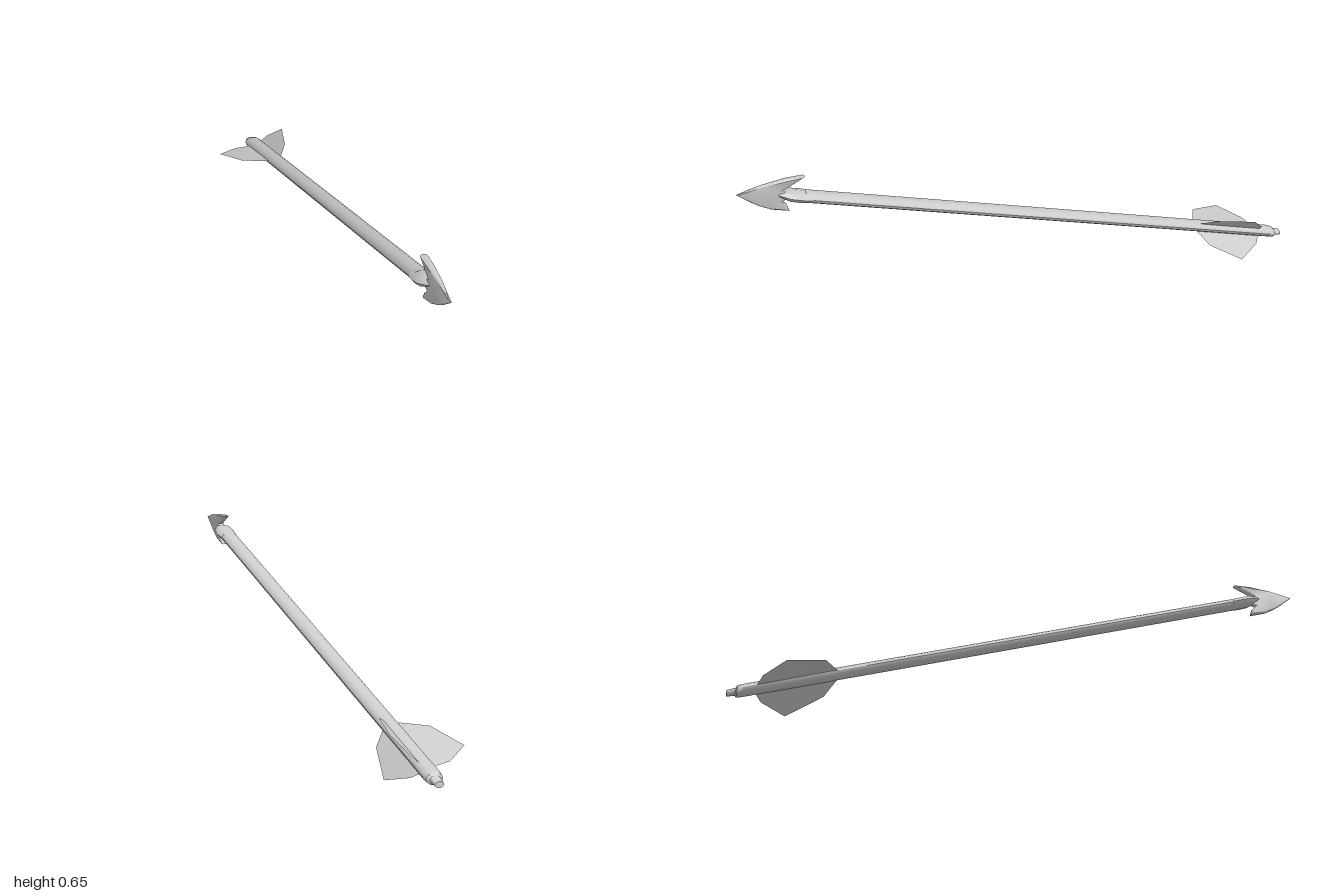
import * as THREE from 'three';
import { toCreasedNormals } from 'three/addons/utils/BufferGeometryUtils.js';

const CX = 0.042; // x of the shaft axis
const axisY = z => 0.335 + 0.305 * z; // height of the shaft axis along z
const grey = new THREE.MeshStandardMaterial({ color: 0xcccccc });
const thin = new THREE.MeshStandardMaterial({ color: 0xcccccc, side: THREE.DoubleSide });

function named(name, geometry, material = grey) {
  const mesh = new THREE.Mesh(geometry, material);
  mesh.name = name;
  return mesh;
}

// Oval turned part laid along the sloping axis; profile is [radius, z] from back to front
function turned(name, profile, sides, flatten) {
  const geo = new THREE.LatheGeometry(profile.map(p => new THREE.Vector2(...p)), sides);
  geo.rotateX(Math.PI / 2);
  geo.scale(1, flatten, 1);
  const pos = geo.attributes.position;
  for (let i = 0; i < pos.count; i++) {
    pos.setXYZ(i, pos.getX(i) + CX, pos.getY(i) + axisY(pos.getZ(i)), pos.getZ(i));
  }
  return named(name, toCreasedNormals(geo, 0.8));
}

// Flat feather: a fan from a point on the axis through the outline points
function feather(name, outline) {
  const pts = [[CX, axisY(-0.64), -0.64], ...outline, [CX, axisY(-0.91), -0.91]];
  const index = [];
  for (let i = 1; i < pts.length - 1; i++) index.push(0, i, i + 1);
  const geo = new THREE.BufferGeometry();
  geo.setAttribute('position', new THREE.Float32BufferAttribute(pts.flat(), 3));
  geo.setIndex(index);
  geo.computeVertexNormals();
  return named(name, geo, thin);
}

// Barbed head: side outline [z, y], bevelled, thinned to the tip and rolled slightly
function arrowHead() {
  const outline = [
    [1, 0.626], [0.965, 0.635], [0.92, 0.643], [0.84, 0.65], [0.78, 0.648],
    [0.815, 0.63], [0.855, 0.612], [0.84, 0.604], [0.835, 0.58], [0.858, 0.573],
    [0.842, 0.556], [0.835, 0.533], [0.893, 0.55], [0.93, 0.57], [0.96, 0.592],
  ].map(p => new THREE.Vector2(...p));
  const geo = new THREE.ExtrudeGeometry(new THREE.Shape(outline), {
    depth: 0.01, bevelEnabled: true, bevelThickness: 0.007,
    bevelSize: 0.005, bevelOffset: -0.005, bevelSegments: 2,
  });
  geo.translate(0, 0, -0.005);
  geo.rotateY(-Math.PI / 2);
  const pos = geo.attributes.position;
  for (let i = 0; i < pos.count; i++) {
    const y = pos.getY(i), z = pos.getZ(i);
    const taper = THREE.MathUtils.clamp((1 - z) / 0.13, 0.25, 1);
    pos.setX(i, CX + pos.getX(i) * taper + (y - 0.59) * 0.09);
  }
  return named('arrowHead', toCreasedNormals(geo, 0.9));
}

export function createModel() {
  const arrow = new THREE.Group();
  arrow.name = 'arrow';

  // Shaft with the narrow nock at its back end
  arrow.add(turned('shaft', [
    [0, -1], [0.015, -1], [0.018, -0.972], [0.028, -0.968], [0.03, -0.95],
    [0.03, 0.78], [0, 0.78],
  ], 12, 0.66));

  // Socket that joins the head to the shaft
  arrow.add(turned('socket', [
    [0, 0.762], [0.033, 0.762], [0.037, 0.80], [0.034, 0.835], [0.016, 0.865], [0, 0.885],
  ], 8, 0.55));

  arrow.add(arrowHead());

  // Three feathers
  arrow.add(feather('rightFeather', [
    [0.01, 0.138, -0.65], [-0.078, 0.13, -0.70], [-0.128, 0.093, -0.83],
    [-0.047, 0.067, -0.895], [0.01, 0.059, -0.905],
  ]));
  arrow.add(feather('upperLeftFeather', [
    [0.06, 0.152, -0.645], [0.095, 0.169, -0.70], [0.127, 0.152, -0.84],
    [0.085, 0.096, -0.90],
  ]));
  arrow.add(feather('lowerLeftFeather', [
    [0.055, 0.12, -0.645], [0.095, 0.074, -0.68], [0.125, 0.003, -0.80],
    [0.08, 0.026, -0.885], [0.055, 0.042, -0.905],
  ]));
  return arrow;
}
